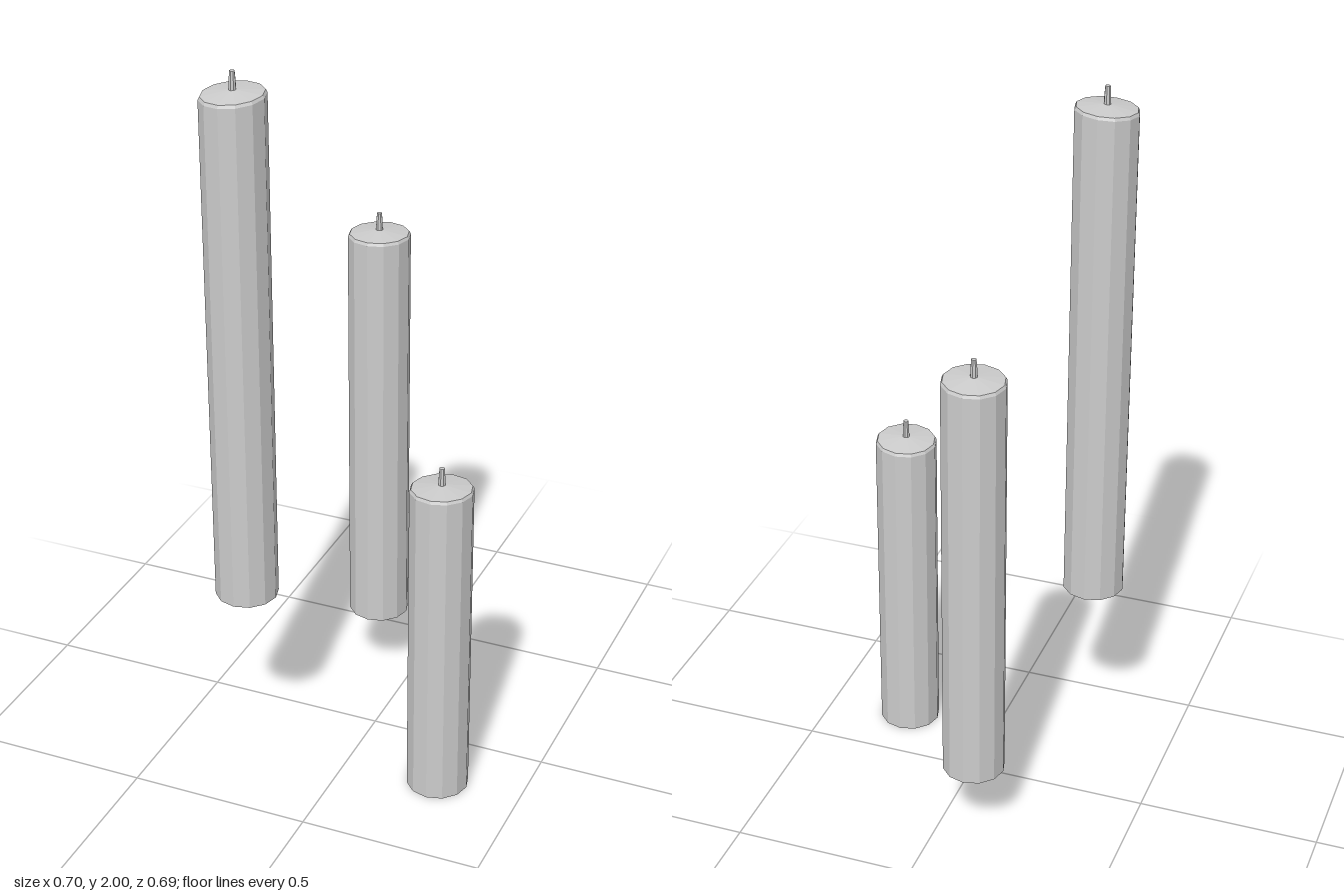
import * as THREE from 'three';

const SIDES = 12;
const RADIUS = 0.085;

// Floating candles: position, underside, rim height, and slope of the melted top
const CANDLES = [
  { name: 'tallCandle', x: -0.266, z: 0.257, bottom: 0.523, rim: 1.935, slopeX: 0.06, slopeZ: -0.05 },
  { name: 'middleCandle', x: -0.097, z: -0.259, bottom: 0.215, rim: 1.387, slopeX: 0.02, slopeZ: 0.03 },
  { name: 'shortCandle', x: 0.264, z: 0.187, bottom: 0, rim: 0.917, slopeX: 0.03, slopeZ: 0.04 },
];

function lathe(points, sides) {
  return new THREE.LatheGeometry(points.map(([r, y]) => new THREE.Vector2(r, y)), sides);
}

function createCandle({ name, x, z, bottom, rim, slopeX, slopeZ }, material) {
  const candle = new THREE.Group();
  candle.name = name;
  candle.position.set(x, 0, z);

  // Faceted wax column with a softened rim and a shallow domed top
  const geometry = lathe([
    [0, bottom], [RADIUS, bottom], [RADIUS, rim], [RADIUS * 0.95, rim + 0.008], [0, rim + 0.018],
  ], SIDES);

  // Tilt the melted top slightly
  const pos = geometry.attributes.position;
  for (let i = 0; i < pos.count; i++) {
    if (pos.getY(i) > rim - 0.01) {
      pos.setY(i, pos.getY(i) + slopeX * pos.getX(i) + slopeZ * pos.getZ(i));
    }
  }
  geometry.computeVertexNormals();
  const wax = new THREE.Mesh(geometry, material);
  wax.name = 'waxColumn';

  // Short wick, a little narrower at the tip
  const wick = new THREE.Mesh(
    lathe([[0.01, rim + 0.005], [0.009, rim + 0.04], [0.007, rim + 0.065], [0, rim + 0.065]], 8),
    material,
  );
  wick.name = 'wick';

  candle.add(wax, wick);
  return candle;
}

export function createModel() {
  const model = new THREE.Group();
  model.name = 'floatingCandles';
  const material = new THREE.MeshStandardMaterial({ color: 0xcccccc, flatShading: true });
  for (const spec of CANDLES) model.add(createCandle(spec, material));
  return model;
}
